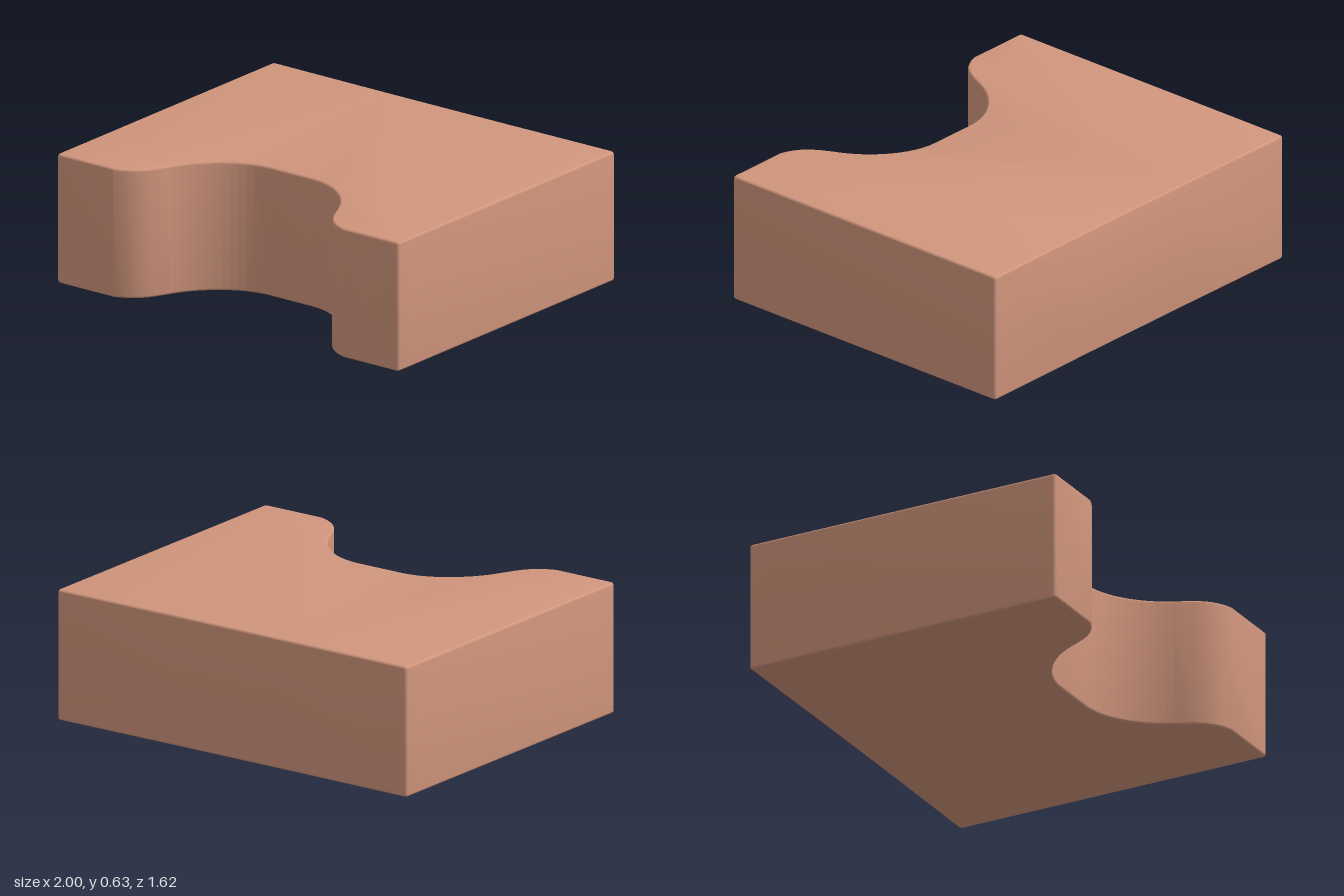
import * as THREE from 'three';
import { toCreasedNormals } from 'three/addons/utils/BufferGeometryUtils.js';

const HEIGHT = 0.63, BACK = 0.81, FRONT = -0.805; // shape y is -z
const BEVEL = 0.013, R = 0.02;

// Plan outline, counter-clockwise, with a bell-shaped notch in the front edge
function blockOutline() {
  const s = new THREE.Shape();
  s.moveTo(-1 + R, FRONT);
  s.lineTo(-0.67, FRONT);
  s.bezierCurveTo(-0.56, -0.77, -0.53, -0.71, -0.48, -0.6);
  s.bezierCurveTo(-0.42, -0.47, -0.28, -0.345, -0.12, -0.345);
  s.lineTo(0.12, -0.345);
  s.bezierCurveTo(0.28, -0.345, 0.42, -0.47, 0.48, -0.6);
  s.bezierCurveTo(0.53, -0.71, 0.56, -0.77, 0.67, FRONT);
  s.lineTo(1 - R, FRONT);
  s.quadraticCurveTo(1, FRONT, 1, FRONT + R);
  s.lineTo(1, BACK - R);
  s.quadraticCurveTo(1, BACK, 1 - R, BACK);
  // the back edge dips very slightly in the middle
  s.lineTo(0.34, BACK - 0.004);
  s.lineTo(-0.34, BACK - 0.004);
  s.lineTo(-1 + R, BACK);
  s.quadraticCurveTo(-1, BACK, -1, BACK - R);
  s.lineTo(-1, FRONT + R);
  s.quadraticCurveTo(-1, FRONT, -1 + R, FRONT);
  return s;
}

export function createModel() {
  const group = new THREE.Group();
  group.name = 'notchedBlock';

  // Solid block with softly rounded top and bottom edges
  const geometry = new THREE.ExtrudeGeometry(blockOutline(), {
    depth: HEIGHT - 2 * BEVEL,
    bevelThickness: BEVEL,
    bevelSize: BEVEL,
    bevelOffset: -BEVEL,
    bevelSegments: 4,
    curveSegments: 12,
  });
  geometry.rotateX(-Math.PI / 2);
  geometry.translate(0, BEVEL, 0);

  const material = new THREE.MeshStandardMaterial({ color: 0xd0957c });
  const block = new THREE.Mesh(toCreasedNormals(geometry, 0.2), material);
  block.name = 'block';
  group.add(block);
  return group;
}
